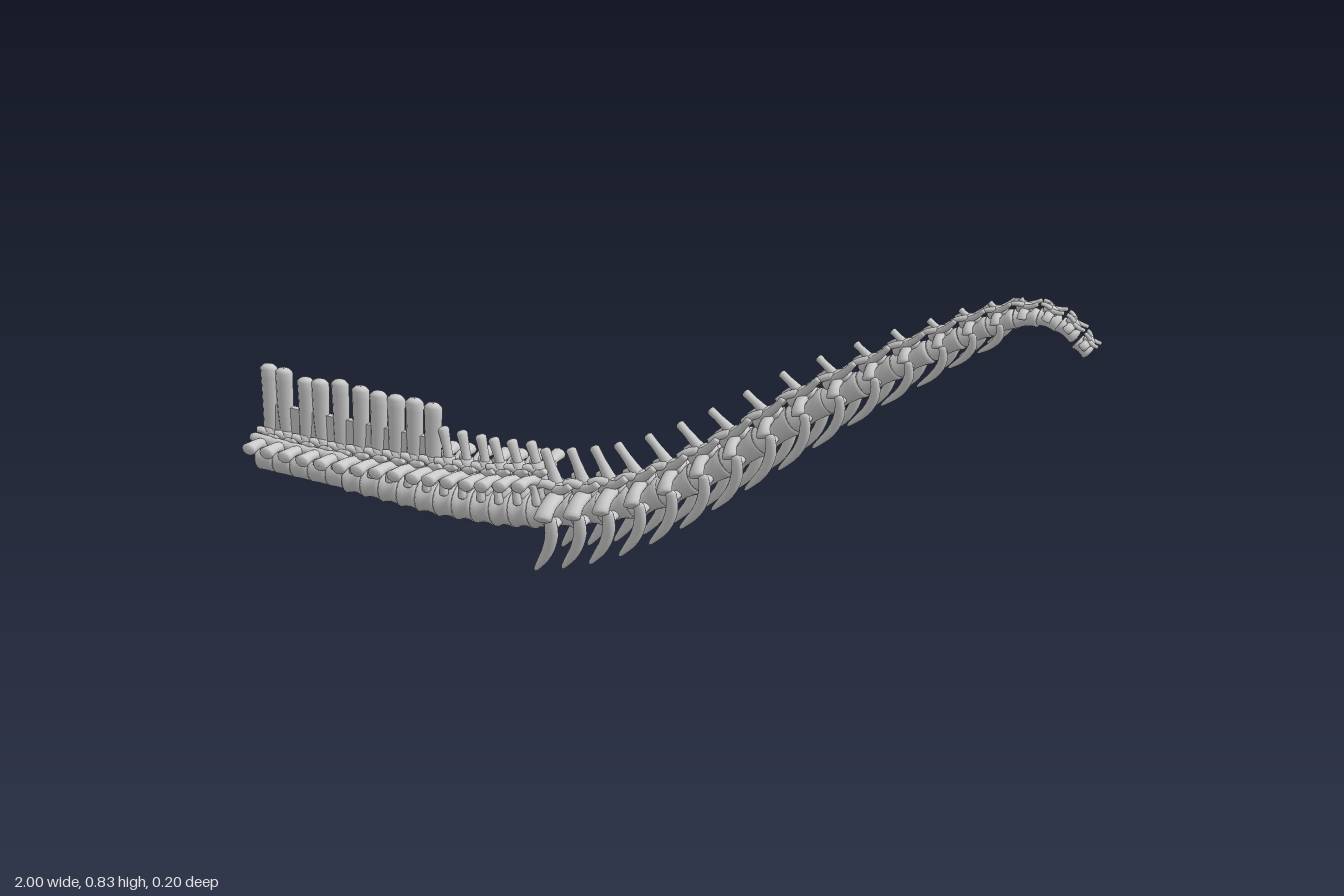
import * as THREE from 'three';
import { mergeVertices } from 'three/addons/utils/BufferGeometryUtils.js';

const material = new THREE.MeshStandardMaterial({ color: 0xcccccc, side: THREE.DoubleSide });
const lerp = THREE.MathUtils.lerp;
const v3 = (p) => new THREE.Vector3(...p);

// Piecewise-linear lookup: keys are [input, output]
function ramp(keys, x) {
  if (x <= keys[0][0]) return keys[0][1];
  for (let i = 1; i < keys.length; i++) {
    const [a, va] = keys[i - 1], [b, vb] = keys[i];
    if (x <= b) return lerp(va, vb, (x - a) / (b - a));
  }
  return keys[keys.length - 1][1];
}

// Bone shaft: a tube whose radius follows a list, stretched per axis, with blunt rounded ends
const capRamp = [[0, 0.02], [0.01, 0.65], [0.05, 1]];
function bone(name, points, radii, stretch = [1, 1, 1]) {
  const curve = new THREE.CatmullRomCurve3(points.map(v3));
  const rings = 12, sides = 10;
  const g = new THREE.TubeGeometry(curve, rings, 1, sides);
  const pos = g.attributes.position, s = v3(stretch), p = new THREE.Vector3();
  const stops = [0, 0.01, 0.05, 0.16, 0.27, 0.385, 0.5, 0.615, 0.73, 0.84, 0.95, 0.99, 1];
  for (let i = 0; i <= rings; i++) {
    const t = stops[i], from = curve.getPointAt(i / rings), to = curve.getPointAt(t);
    const f = t * (radii.length - 1), k = Math.min(Math.floor(f), radii.length - 2);
    const r = lerp(radii[k], radii[k + 1], f - k) * ramp(capRamp, Math.min(t, 1 - t));
    for (let j = 0; j <= sides; j++) {
      const n = i * (sides + 1) + j;
      p.fromBufferAttribute(pos, n).sub(from).multiply(s).multiplyScalar(r).add(to);
      pos.setXYZ(n, p.x, p.y, p.z);
    }
  }
  g.deleteAttribute('uv');
  g.deleteAttribute('normal');
  const geo = mergeVertices(g, 1e-6);
  geo.computeVertexNormals();
  const mesh = new THREE.Mesh(geo, material);
  mesh.name = name;
  return mesh;
}

// Spool-shaped vertebral body with a domed front
function centrum(len, r, waist, zScale) {
  const h = len / 2;
  const profile = [
    [0, -h * 0.8], [r * 0.7, -h * 0.9], [r * 0.95, -h * 1.05], [r, -h * 0.9], [r * lerp(1, waist, 0.7), -h * 0.5],
    [r * waist, 0], [r * lerp(1, waist, 0.7), h * 0.5], [r * 0.97, h * 0.85], [r * 0.85, h * 1.05], [r * 0.5, h * 1.2], [0, h * 1.25],
  ].map(([x, y]) => new THREE.Vector2(x, y));
  const g = new THREE.LatheGeometry(profile, 20);
  g.rotateZ(-Math.PI / 2).scale(1, 1, zScale);
  const mesh = new THREE.Mesh(g, material);
  mesh.name = 'centrum';
  return mesh;
}

// Small paired joint prongs in front of and behind the arch
function jointProngs(g, len, r, y) {
  for (const s of [-1, 1]) {
    g.add(bone('frontJointProng', [[0, y, s * r * 0.4], [len * 0.4, y + r * 0.15, s * r * 0.65], [len * 0.7, y + r * 0.4, s * r * 0.7]],
      [r * 0.32, r * 0.28, r * 0.24]));
    g.add(bone('rearJointProng', [[0, y + r * 0.2, s * r * 0.3], [-len * 0.3, y + r * 0.5, s * r * 0.5], [-len * 0.55, y + r * 0.5, s * r * 0.6]],
      [r * 0.32, r * 0.28, r * 0.24]));
  }
}

// Back and hip vertebra: upright spine and wide side bars
const tallTops = [0.232, 0.23, 0.218, 0.222, 0.232, 0.228, 0.226, 0.228, 0.231, 0.23];
const tallShift = [0.002, -0.005, 0.005, -0.004, 0.001, 0.003, 0.002, 0, 0, 0];
function trunkVertebra(i, x) {
  const g = new THREE.Group();
  const hip = i < 5, tall = i < tallTops.length;
  const r = hip ? 0.038 : 0.044, len = 0.048;
  g.add(centrum(len, r, hip ? 0.97 : 0.88, 1.05));
  const barY = ramp([[-0.97, 0.052], [-0.75, 0.055], [-0.5, 0.082], [-0.25, 0.092]], x);
  g.add(bone('neuralArch', [[0, r * 0.6, 0], [0, barY, 0], [0, barY + 0.025, 0]], [0.024, 0.02, 0.016], [0.9, 1, 1.1]));
  if (tall) {
    const dx = tallShift[i];
    g.add(bone('neuralSpine', [[0, 0.05, 0], [dx, 0.12, 0], [dx, tallTops[i], 0]], [0.018, 0.02, 0.021, 0.022], [1, 1, 0.75]));
  } else {
    const top = ramp([[-0.49, 0.178], [-0.25, 0.165]], x);
    g.add(bone('neuralSpine', [[0.006, 0.05, 0], [0, 0.11, 0], [-0.008, top, 0]], [0.015, 0.012, 0.012, 0.015], [0.9, 1, 0.95]));
  }
  for (const s of [-1, 1]) {
    g.add(bone('sideBar', [[0, barY - 0.015, s * 0.015], [0, barY, s * 0.055], [0, barY + 0.003, s * 0.1]],
      [0.017, 0.013, 0.014, 0.018], [1.05, 0.85, 1]));
    g.add(bone('archStrut', [[0, r * 0.5, s * 0.03], [0, barY * 0.75, s * 0.035], [0, barY, s * 0.06]], [0.011, 0.008, 0.008]));
  }
  jointProngs(g, len, 0.032, barY);
  return g;
}

// Neck vertebra: backswept spine, raised arch and drooping side wings
function neckVertebra(x, len) {
  const g = new THREE.Group();
  const r = ramp([[-0.2, 0.043], [0.1, 0.037], [0.4, 0.032], [0.7, 0.024], [0.97, 0.017]], x);
  const wing = ramp([[-0.2, 0.092], [0, 0.08], [0.1, 0.071], [0.4, 0.054], [0.8, 0.034], [0.97, 0.018]], x);
  const top = ramp([[-0.2, 0.15], [0.05, 0.138], [0.3, 0.11], [0.5, 0.09], [0.66, 0.065], [0.83, 0.045], [0.97, 0.028]], x);
  g.add(centrum(len, r, 0.8, 1.02));
  g.add(bone('neuralArch', [[-len * 0.4, r * 1.05, 0], [0, r * 1.15, 0], [len * 0.35, r * 0.95, 0]], [r * 0.4, r * 0.6, r * 0.4], [1, 1, 1.1]));
  g.add(bone('neuralSpine', [[0, r, 0], [-len * 0.08, lerp(r, top, 0.55), 0], [-len * 0.16, top, 0]],
    [r * 0.5, r * 0.36, r * 0.28, r * 0.3], [1, 1, 0.9]));
  jointProngs(g, len, r * 0.9, r * 1.25);
  for (const s of [-1, 1]) {
    g.add(bone('sideWing', [[0, r * 0.95, s * r * 0.4], [0, r * 0.75, s * lerp(r, wing, 0.4)], [-len * 0.05, r * 0.3, s * wing]],
      [r * 0.36, r * 0.32, r * 0.36], [1.5, 1, 1]));
  }
  return g;
}

// Hanging neck rib pair: falls steeply, then hooks back to a point
function neckRibs(x, r) {
  const g = new THREE.Group();
  const drop = ramp([[-0.2, 0.13], [0, 0.13], [0.4, 0.133], [0.7, 0.09], [0.82, 0.06]], x);
  const back = ramp([[-0.2, 0.04], [0.2, 0.055], [0.6, 0.055], [0.82, 0.04]], x);
  const z = ramp([[-0.2, 0.065], [0.2, 0.054], [0.5, 0.043], [0.82, 0.028]], x);
  for (const s of [-1, 1]) {
    g.add(bone('neckRib', [
      [0.004, r * 0.4, s * z * 1.15], [0.006, -drop * 0.2, s * z * 1.08],
      [-back * 0.2, -drop * 0.58, s * z * 1.03], [-back, -drop, s * z],
    ], [r * 0.3, r * 0.36, r * 0.32, r * 0.26, r * 0.1], [1.1, 1, 0.8]));
    g.add(bone('ribHead', [[0, -r * 0.3, s * r * 0.6], [0.003, -r * 0.35, s * z * 0.9], [0.005, -r * 0.5, s * z * 1.05]],
      [r * 0.3, r * 0.26, r * 0.26]));
  }
  return g;
}

export function createModel() {
  const model = new THREE.Group();
  model.name = 'spinalColumn';

  // Centre line of the vertebral bodies
  const line = [[-1, 0.115], [-0.74, 0.112], [-0.5, 0.104], [-0.35, 0.112], [-0.2, 0.137], [-0.1, 0.165], [0, 0.205], [0.1, 0.265],
    [0.2, 0.337], [0.4, 0.505], [0.6, 0.65], [0.75, 0.747], [0.83, 0.79], [0.89, 0.803], [0.94, 0.785], [0.99, 0.74]];
  const slopeAt = (x) => Math.atan2(ramp(line, x + 0.025) - ramp(line, x - 0.025), 0.05);
  const place = (g, name, x, angle) => {
    g.name = name;
    g.position.set(x, ramp(line, x), 0);
    g.rotation.z = angle;
    model.add(g);
  };

  // Hips and back
  for (let i = 0; i < 16; i++) {
    const x = -0.957 + i * 0.048;
    place(trunkVertebra(i, x), i < 5 ? 'hipVertebra' : 'backVertebra', x, slopeAt(x));
  }

  // Low ridge joining the tall spines, and the rails beside them
  const ridge = new THREE.Mesh(new THREE.BoxGeometry(0.45, 0.1, 0.014), material);
  ridge.name = 'spineRidge';
  ridge.position.set(-0.745, 0.2, 0);
  model.add(ridge);
  for (const s of [-1, 1]) {
    model.add(bone('hipSideRail', [[-0.995, 0.168, s * 0.03], [-0.85, 0.162, s * 0.03], [-0.73, 0.165, s * 0.03]],
      [0.012, 0.012, 0.012]));
  }

  // Neck, shrinking towards the head
  const neck = [-0.19, -0.12, -0.05, 0.025, 0.1, 0.175, 0.25, 0.325, 0.4, 0.475, 0.55, 0.62, 0.69, 0.75, 0.805, 0.855, 0.9, 0.94, 0.973];
  neck.forEach((x, i) => {
    const angle = slopeAt(x);
    const gap = i < neck.length - 1 ? neck[i + 1] - x : 0.025;
    place(neckVertebra(x, gap / Math.cos(angle)), 'neckVertebra', x, angle);
    if (x < 0.83) place(neckRibs(x, ramp([[-0.2, 0.043], [0.4, 0.033], [0.83, 0.022]], x)), 'neckRibPair', x, 0);
  });

  // Stand on the ground, centred
  const box = new THREE.Box3().setFromObject(model, true);
  model.position.set(-(box.max.x + box.min.x) / 2, -box.min.y, 0);
  return model;
}
